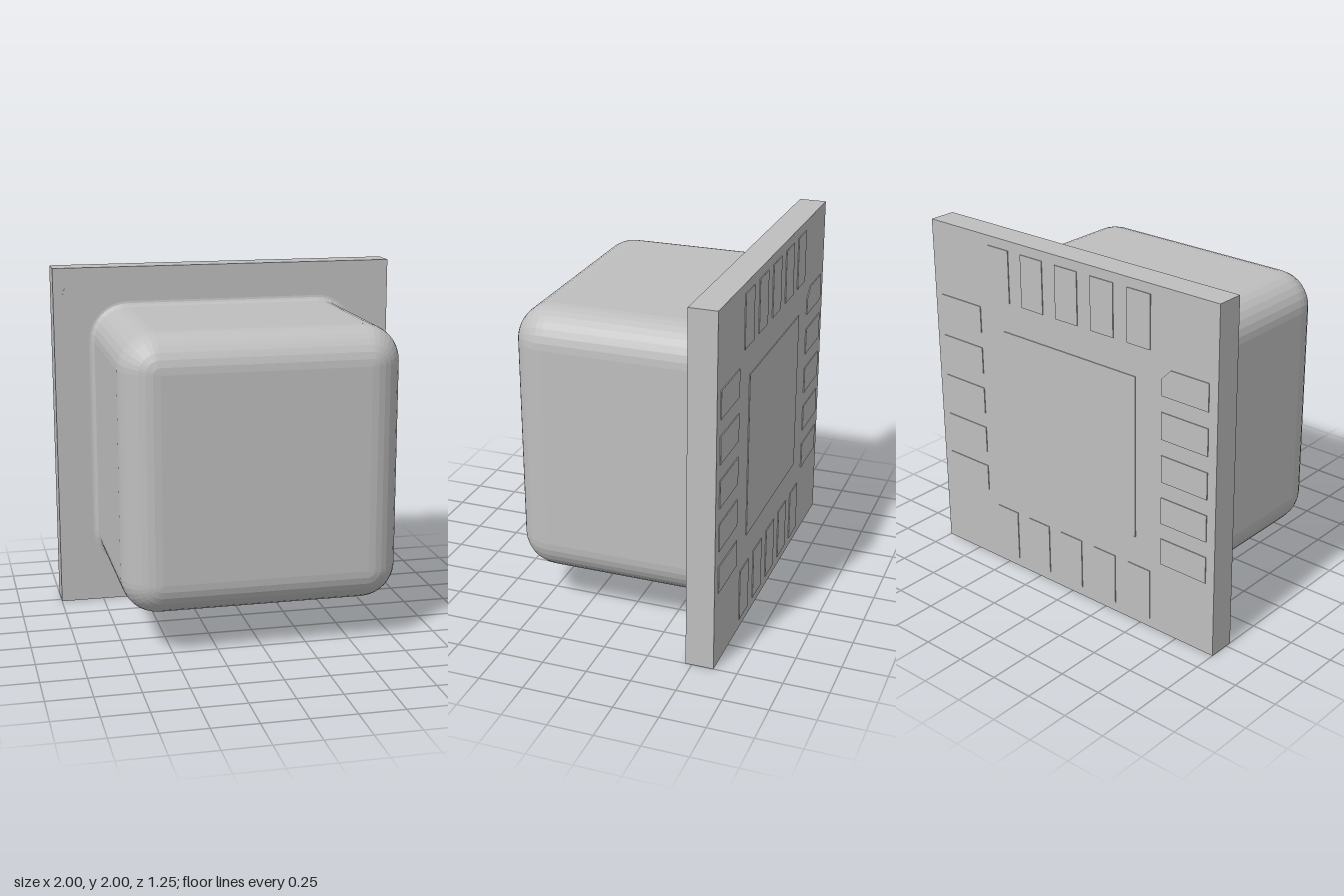
import * as THREE from 'three';

const CY = 1; // height of the model's centre
const BACK = -0.62; // rear face of the base plate
const FRONT = -0.465; // front face of the base plate

// Rounded block with spherical corners and a small flared foot, lofted along z
function bodyGeometry() {
  const core = 0.57, R = 0.2, flare = 0.03, zTop = 0.625, seg = 8;
  const profile = []; // [corner radius, z]
  for (let i = 0; i <= 4; i++) {
    const a = (i / 4) * Math.PI / 2;
    profile.push([R + flare * (1 - Math.sin(a)), FRONT + flare * (1 - Math.cos(a))]);
  }
  for (let i = 0; i <= seg; i++) {
    const a = (i / seg) * Math.PI / 2;
    profile.push([R * Math.cos(a), zTop - R + R * Math.sin(a)]);
  }
  const pos = [], idx = [], n = 4 * (seg + 1);
  for (const [r, z] of profile) {
    for (let c = 0; c < 4; c++) {
      const sx = c === 0 || c === 3 ? 1 : -1, sy = c < 2 ? 1 : -1;
      for (let i = 0; i <= seg; i++) {
        const a = (c + i / seg) * Math.PI / 2;
        pos.push(sx * core + r * Math.cos(a), sy * core + r * Math.sin(a), z);
      }
    }
  }
  for (let j = 0; j < profile.length - 1; j++) {
    for (let i = 0; i < n; i++) {
      const a = j * n + i, b = j * n + (i + 1) % n;
      idx.push(a, b, b + n, a, b + n, a + n);
    }
  }
  // flat front face
  const s = (profile.length - 1) * n, q = seg + 1;
  idx.push(s, s + q, s + 2 * q, s, s + 2 * q, s + 3 * q);
  const g = new THREE.BufferGeometry();
  g.setAttribute('position', new THREE.Float32BufferAttribute(pos, 3));
  g.setIndex(idx);
  const faceted = g.toNonIndexed();
  faceted.computeVertexNormals();
  return faceted;
}

export function createModel() {
  const group = new THREE.Group();
  const grey = new THREE.MeshStandardMaterial({ color: 0xbfbfbf });
  grey.name = 'light grey';

  const add = (name, geometry, x, y, z) => {
    const mesh = new THREE.Mesh(geometry, grey);
    mesh.name = name;
    mesh.position.set(x, y, z);
    group.add(mesh);
    return mesh;
  };

  // Base plate and rounded housing
  add('basePlate', new THREE.BoxGeometry(2, 2, FRONT - BACK), 0, CY, (FRONT + BACK) / 2);
  add('housing', bodyGeometry(), 0, CY, 0);

  // Thin contact pads on the rear face
  const t = 0.005, zPad = BACK - t / 2;
  const pad = (name, x, y, w, h) => add(name, new THREE.BoxGeometry(w, h, t), x, y, zPad);
  pad('centrePad', 0, CY, 0.94, 0.94);

  const long = 0.3, short = 0.155, pitch = 0.2465, reach = 0.795;
  for (let i = -2; i <= 2; i++) {
    const d = i * pitch;
    pad('topPad', d, CY + reach, short, long);
    pad('bottomPad', d, CY - reach, short, long);
    pad('leftPad', reach, CY + d, long, short);
    if (i < 2) pad('rightPad', -reach, CY + d, long, short);
  }

  // First pad has one chamfered inner corner
  const w = long / 2, h = short / 2, c = 0.06;
  const outline = [[-w, -h], [w, -h], [w, h - c], [w - c, h], [-w, h]];
  const shape = new THREE.Shape(outline.map(([x, y]) => new THREE.Vector2(x, y)));
  add('chamferedPad', new THREE.ExtrudeGeometry(shape, { depth: t, bevelEnabled: false }),
    -reach, CY + 2 * pitch, BACK - t);

  // Small orientation dot on the front of the plate
  const dot = new THREE.CylinderGeometry(0.025, 0.025, 0.002, 16).rotateX(Math.PI / 2);
  add('orientationDot', dot, -0.92, 1.86, FRONT + 0.001);

  return group;
}
